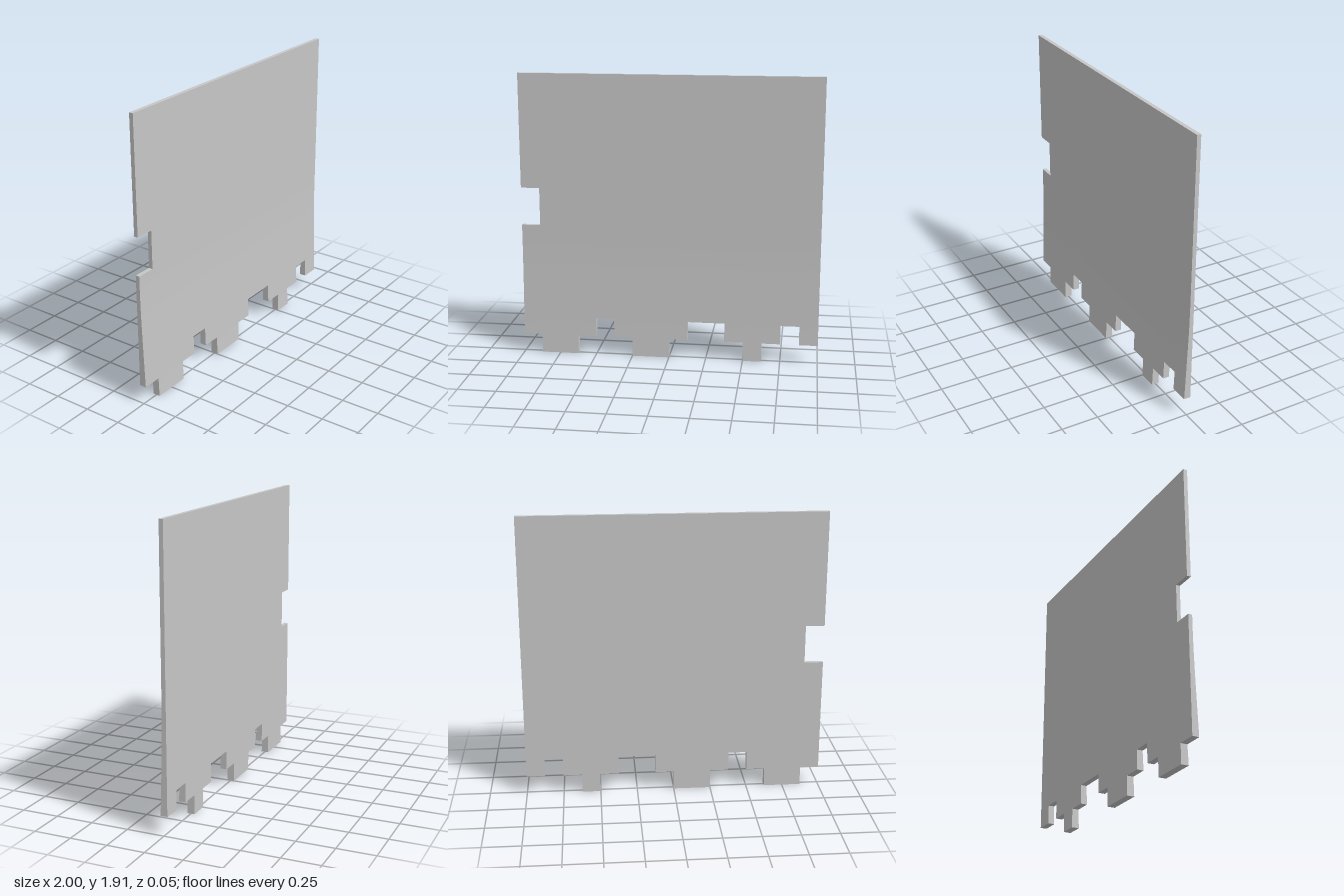
import * as THREE from 'three';
import { toCreasedNormals } from 'three/addons/utils/BufferGeometryUtils.js';

const COLS = 16, ROWS = 15, CW = 0.125, CH = 0.1275, BACK = -0.025;

// Height in cells at which each column of the ragged hem starts
const HEM = [1, 0, 0, 1, 2, 1, 0, 0, 1, 2, 2, 1, 0, 1, 2, 1];

// True where the cloth is present: above the hem, outside the side notch
function filled(c, r) {
  if (c < 0 || c >= COLS || r >= ROWS || r < HEM[c]) return false;
  return !(c === 0 && (r === 7 || r === 8));
}

// The front thickens gently towards the hem
function frontZ(y) {
  return 0.002 + 0.023 * Math.pow(Math.max(0, 1 - y / 0.72), 1.2);
}

function clothGeometry() {
  const pos = [];
  const quad = (a, b, c, d) => pos.push(...a, ...b, ...c, ...a, ...c, ...d);
  const point = (c, r, front) => {
    const y = r * CH;
    return [c * CW - 1, y, front ? frontZ(y) : BACK];
  };
  for (let c = 0; c < COLS; c++) {
    for (let r = 0; r < ROWS; r++) {
      if (!filled(c, r)) continue;
      // corners counter-clockwise from lower left, on front and back
      const corners = [[c, r], [c + 1, r], [c + 1, r + 1], [c, r + 1]];
      const f = corners.map(([x, y]) => point(x, y, true));
      const b = corners.map(([x, y]) => point(x, y, false));
      quad(f[0], f[1], f[2], f[3]);
      quad(b[1], b[0], b[3], b[2]);
      // edge walls where the neighbouring cell is empty
      [[0, -1], [1, 0], [0, 1], [-1, 0]].forEach(([dc, dr], i) => {
        if (filled(c + dc, r + dr)) return;
        const j = (i + 1) % 4;
        quad(b[i], b[j], f[j], f[i]);
      });
    }
  }
  const geo = new THREE.BufferGeometry();
  geo.setAttribute('position', new THREE.Float32BufferAttribute(pos, 3));
  return toCreasedNormals(geo, Math.PI / 6);
}

export function createModel() {
  const group = new THREE.Group();
  group.name = 'raggedCloth';
  const lightGrey = new THREE.MeshStandardMaterial({ color: 0xc7c7c7 });
  lightGrey.name = 'lightGrey';
  const cloth = new THREE.Mesh(clothGeometry(), lightGrey);
  cloth.name = 'clothPanel';
  group.add(cloth);
  return group;
}
